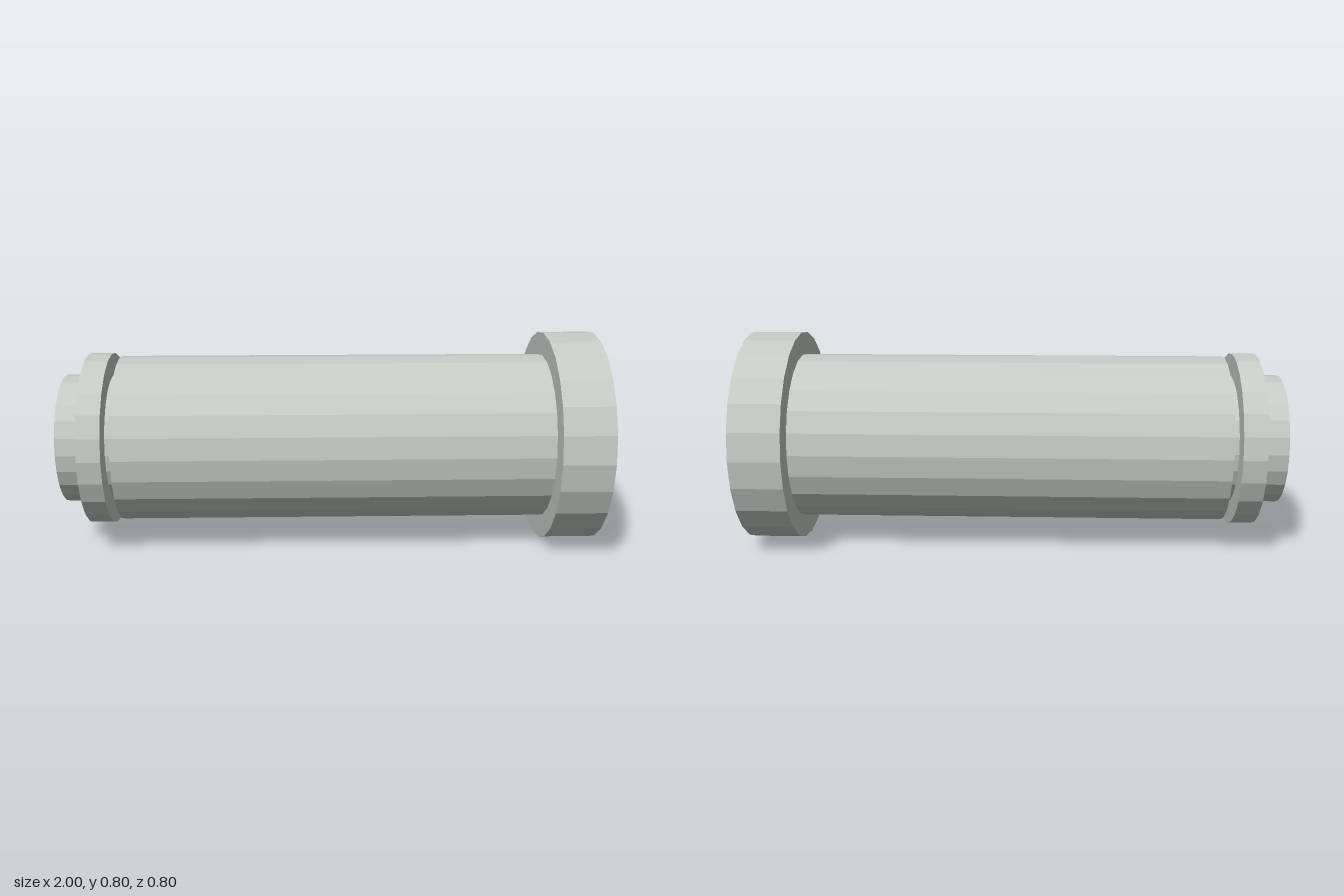
import * as THREE from 'three';

const SIDES = 24;
const AXIS_Y = 0.398;

export function createModel() {
  const pin = new THREE.Group();
  pin.name = 'headedPin';

  const metal = new THREE.MeshStandardMaterial({ color: 0xc5cac5 });
  metal.name = 'greyMetal';
  metal.flatShading = true;

  // Cylinder lying along x, with a corner at the very top
  function addSection(name, x0, x1, radius) {
    const geometry = new THREE.CylinderGeometry(radius, radius, x1 - x0, SIDES);
    geometry.rotateZ(-Math.PI / 2);
    const mesh = new THREE.Mesh(geometry, metal);
    mesh.name = name;
    mesh.position.set((x0 + x1) / 2, AXIS_Y, 0);
    pin.add(mesh);
  }

  addSection('head', 0.81, 1, 0.398);
  addSection('shank', -0.79, 0.81, 0.313);
  addSection('endStub', -1, -0.79, 0.242);
  addSection('retainingRing', -0.907, -0.82, 0.325);

  return pin;
}
